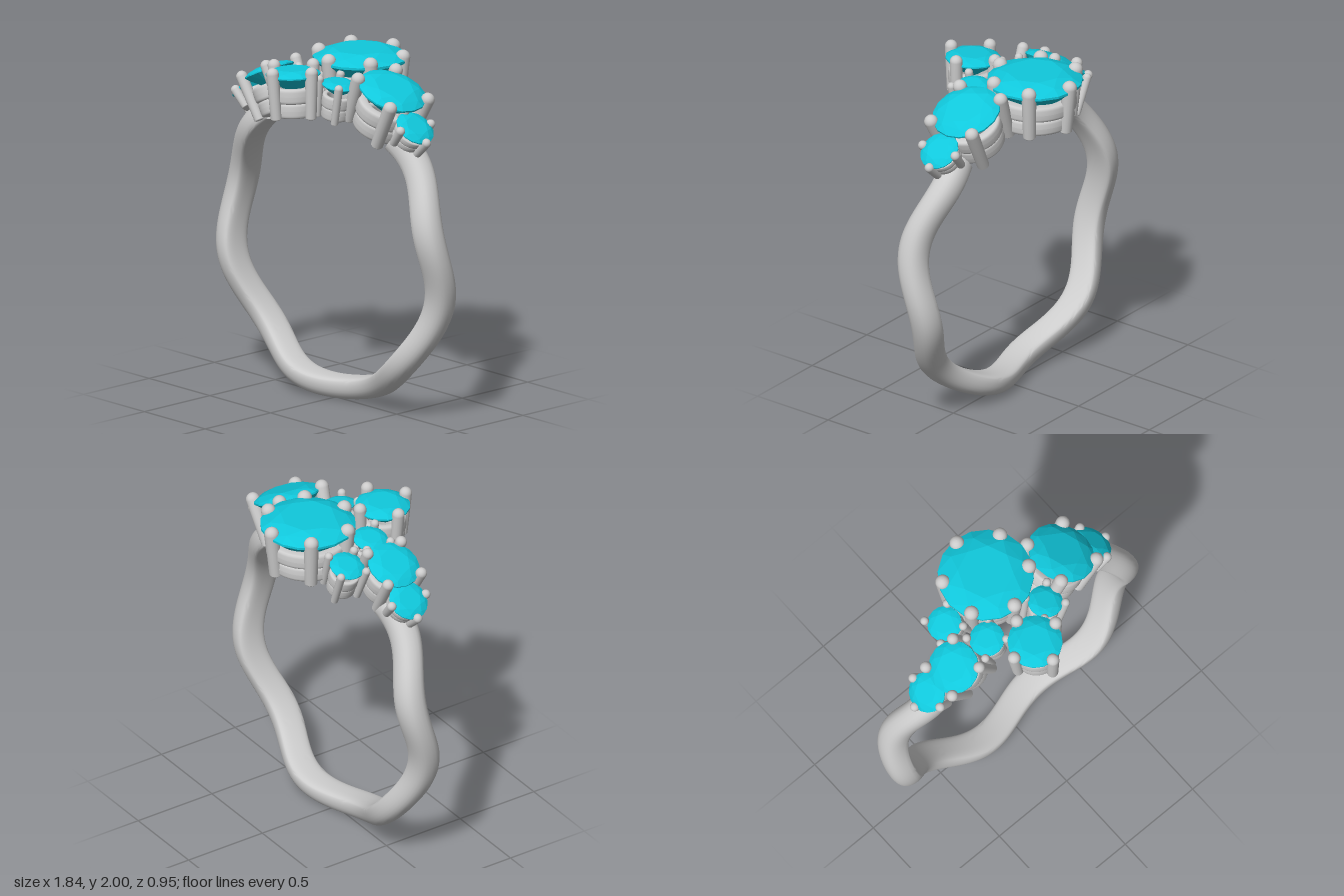
import * as THREE from 'three';
import { toCreasedNormals } from 'three/addons/utils/BufferGeometryUtils.js';
import { ConvexGeometry } from 'three/addons/geometries/ConvexGeometry.js';

const metal = new THREE.MeshStandardMaterial({ color: 0xcccccc });
const gemMaterial = new THREE.MeshStandardMaterial({ color: 0x10c8dc });
const CENTRE_Y = 0.905, INNER = 0.775;
const spow = (v, p) => Math.sign(v) * Math.abs(v) ** p;

function add(parent, name, geometry, material = metal) {
  const mesh = new THREE.Mesh(geometry, material);
  mesh.name = name;
  parent.add(mesh);
  return mesh;
}

// Wavy band: flat inside, domed outside, open at the top under the heads
function bandGeometry() {
  const rows = 140, sides = 28, end = THREE.MathUtils.degToRad(144);
  const pos = [], index = [];
  for (let i = -1; i <= rows + 1; i++) {
    const a = -end + 2 * end * THREE.MathUtils.clamp(i / rows, 0, 1);
    const scale = i < 0 || i > rows ? 0 : 1; // collapsed rows close the ends
    const thick = 0.13 + 0.015 * Math.sin(a) ** 2;
    for (let j = 0; j < sides; j++) {
      const f = (j / sides) * Math.PI * 2, s = Math.sin(f);
      const rise = s > 0 ? (thick - 0.045) * s : 0.045 * spow(s, 0.45);
      const R = INNER + 0.045 + scale * rise;
      const z = -0.043 * Math.sin(6 * a) + scale * 0.087 * spow(Math.cos(f), 0.8);
      pos.push(R * Math.sin(a), CENTRE_Y - R * Math.cos(a), z);
    }
  }
  for (let i = 0; i < rows + 2; i++) {
    for (let j = 0; j < sides; j++) {
      const k = (j + 1) % sides;
      const a = i * sides + j, b = i * sides + k, c = a + sides, d = b + sides;
      index.push(a, b, c, b, d, c);
    }
  }
  const g = new THREE.BufferGeometry();
  g.setAttribute('position', new THREE.Float32BufferAttribute(pos, 3));
  g.setIndex(index);
  return toCreasedNormals(g, 0.75);
}

// Faceted round stone with its girdle at y = 0
function gemGeometry(r) {
  const points = [new THREE.Vector3(0, -0.75 * r, 0)];
  const ring = (n, radius, y, turn) => {
    for (let i = 0; i < n; i++) {
      const a = ((i + turn) / n) * Math.PI * 2;
      points.push(new THREE.Vector3(radius * r * Math.cos(a), y * r, radius * r * Math.sin(a)));
    }
  };
  ring(8, 0.58, 0.2, 0);
  ring(8, 0.81, 0.132, 0.5);
  ring(16, 1, 0.02, 0);
  ring(16, 1, -0.03, 0);
  ring(8, 0.55, -0.4, 0.5);
  return new ConvexGeometry(points);
}

// Ring with a softly squared section
function collarGeometry(radius, width, y0, y1) {
  const points = [];
  for (let i = 0; i <= 20; i++) {
    const a = (i / 20) * Math.PI * 2;
    points.push(new THREE.Vector2(
      radius - width / 2 + (width / 2) * spow(Math.cos(a), 0.5),
      (y0 + y1) / 2 + ((y1 - y0) / 2) * spow(Math.sin(a), 0.5)));
  }
  return new THREE.LatheGeometry(points, 40);
}

// Round-tipped claw along +y
function prongGeometry(r, length) {
  const points = [[0, 0], [r * 0.7, 0], [r * 0.88, r * 0.2]].map(p => new THREE.Vector2(...p));
  for (let i = 0; i <= 6; i++) {
    const a = (i / 6) * Math.PI / 2;
    points.push(new THREE.Vector2(r * Math.cos(a), length - r + r * Math.sin(a)));
  }
  return new THREE.LatheGeometry(points, 16);
}

// One head: stone, two stacked collars and claws, pointing away from the ring centre
function head({ name, x, top, z, r, claws, n = 4, turn, claw, base = INNER, sink = 0.05 }) {
  const group = new THREE.Group();
  group.name = name;
  const rise = top - CENTRE_Y, tilt = Math.atan2(x, rise);
  const H = Math.hypot(x, rise) - base;
  group.position.set(base * Math.sin(tilt), CENTRE_Y + base * Math.cos(tilt), z);
  group.rotation.z = -tilt;

  add(group, 'gem', gemGeometry(r), gemMaterial).position.y = H - sink;
  add(group, 'lowerCollar', collarGeometry(r * 0.83, r * 0.34, 0.02 * H, 0.31 * H));
  add(group, 'upperCollar', collarGeometry(r * 0.88, r * 0.3, 0.3 * H, 0.59 * H));
  for (let i = 0; i < n; i++) {
    const a = THREE.MathUtils.degToRad(turn) + (i / n) * Math.PI * 2;
    const out = new THREE.Vector3(Math.cos(a), 0, Math.sin(a));
    const foot = out.clone().multiplyScalar(claws * 0.87);
    const tip = out.clone().multiplyScalar(claws).setY(H);
    const axis = tip.sub(foot);
    const prong = add(group, 'prong', prongGeometry(claw, axis.length()));
    prong.position.copy(foot);
    prong.quaternion.setFromUnitVectors(new THREE.Vector3(0, 1, 0), axis.normalize());
  }
  return group;
}

export function createModel() {
  const model = new THREE.Group();
  model.name = 'clusterRing';
  add(model, 'band', bandGeometry());

  const small = { r: 0.1, claws: 0.115, turn: 45, claw: 0.024, sink: 0.04 };
  const outer = { r: 0.115, claws: 0.118, turn: 0, claw: 0.027, base: 0.9, sink: 0.03 };
  const heads = [
    { name: 'mainHead', x: 0, top: 2, z: -0.19, r: 0.27, claws: 0.25, n: 6, turn: 30, claw: 0.042, sink: 0.06 },
    { name: 'frontHead', x: -0.05, top: 1.98, z: 0.285, r: 0.155, claws: 0.157, turn: 0, claw: 0.036, sink: 0.06 },
    { name: 'leftHead', x: 0.447, top: 1.9, z: -0.035, r: 0.197, claws: 0.207, turn: 45, claw: 0.04 },
    { name: 'rightHead', x: -0.49, top: 1.86, z: 0.072, r: 0.15, claws: 0.162, turn: 45, claw: 0.033 },
    { name: 'leftEndHead', x: 0.66, top: 1.71, z: -0.01, ...outer },
    { name: 'rightEndHead', x: -0.665, top: 1.705, z: 0.05, ...outer },
    { name: 'rightBackSmallHead', x: -0.35, top: 1.86, z: -0.155, ...small, turn: 52 },
    { name: 'rightFrontSmallHead', x: -0.235, top: 1.9, z: 0.08, ...small },
    { name: 'leftFrontSmallHead', x: 0.172, top: 1.91, z: 0.128, ...small },
  ];
  heads.forEach(h => model.add(head(h)));
  return model;
}
